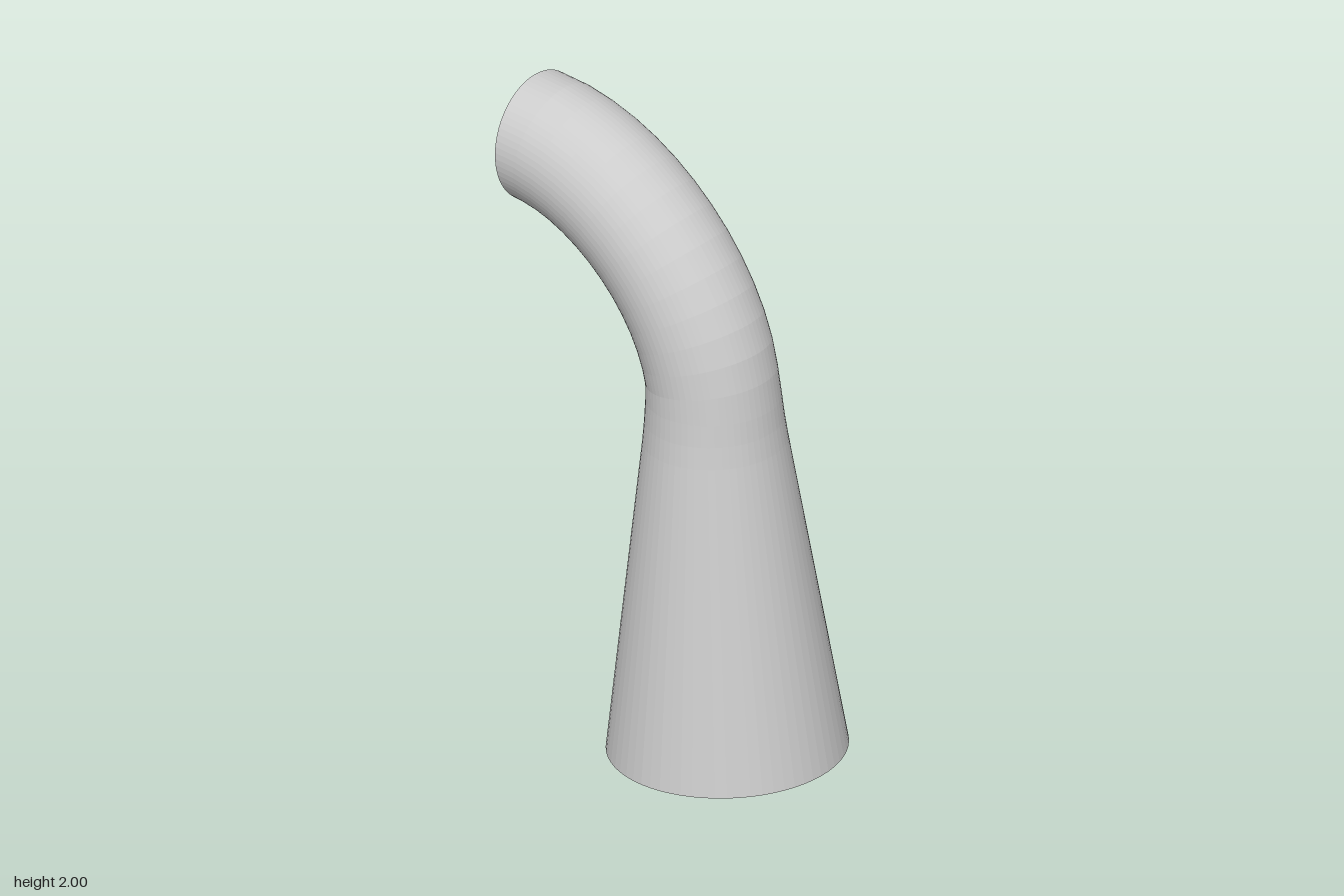
import * as THREE from 'three';

const SIDES = 64;
const BEND_STEPS = 14;

export function createModel() {
  const group = new THREE.Group();
  group.name = 'bentSpout';

  // Rings along the centre line: position, direction and radius
  const rings = [];
  const addRing = (p, t, r) => rings.push({ p, t: t.clone().normalize(), r });
  const base = new THREE.Vector3(0, 0.018, 0.187);
  const bend = new THREE.CubicBezierCurve3(
    new THREE.Vector3(0, 1.16, 0.135), new THREE.Vector3(0, 1.48, 0.12),
    new THREE.Vector3(0, 1.797, -0.205), new THREE.Vector3(0, 1.805, -0.535));

  // Tapered lower cone
  const axis = bend.v0.clone().sub(base);
  addRing(base, new THREE.Vector3(0, 1, -0.038), 0.358);
  addRing(base.clone().addScaledVector(axis, 0.88), axis, 0.215);
  addRing(base.clone().addScaledVector(axis, 0.94), axis, 0.207);

  // Curved neck of constant radius, its mouth tipped slightly down
  for (let i = 0; i <= BEND_STEPS; i++) {
    const u = i / BEND_STEPS;
    const tangent = i === BEND_STEPS ? new THREE.Vector3(0, -0.05, -1) : bend.getTangent(u);
    addRing(bend.getPoint(u), tangent, i === 0 ? 0.201 : 0.197);
  }

  // Skin the rings, leaving both ends open
  const positions = [], index = [];
  const right = new THREE.Vector3(1, 0, 0);
  rings.forEach(({ p, t, r }, i) => {
    const side = new THREE.Vector3().crossVectors(right, t);
    for (let j = 0; j < SIDES; j++) {
      const a = (j / SIDES) * Math.PI * 2;
      const v = p.clone().addScaledVector(right, r * Math.cos(a)).addScaledVector(side, r * Math.sin(a));
      positions.push(v.x, v.y, v.z);
      if (i === 0) continue;
      const k = (j + 1) % SIDES;
      const lo = (i - 1) * SIDES, hi = i * SIDES;
      // side = right x t, so angle runs clockwise about t
      index.push(lo + j, hi + j, lo + k, lo + k, hi + j, hi + k);
    }
  });
  const geometry = new THREE.BufferGeometry();
  geometry.setAttribute('position', new THREE.Float32BufferAttribute(positions, 3));
  geometry.setIndex(index);
  geometry.computeVertexNormals();

  const tube = new THREE.Mesh(geometry, new THREE.MeshStandardMaterial({
    color: 0xcccccc, flatShading: true, side: THREE.DoubleSide }));
  tube.name = 'spoutTube';
  group.add(tube);
  return group;
}
